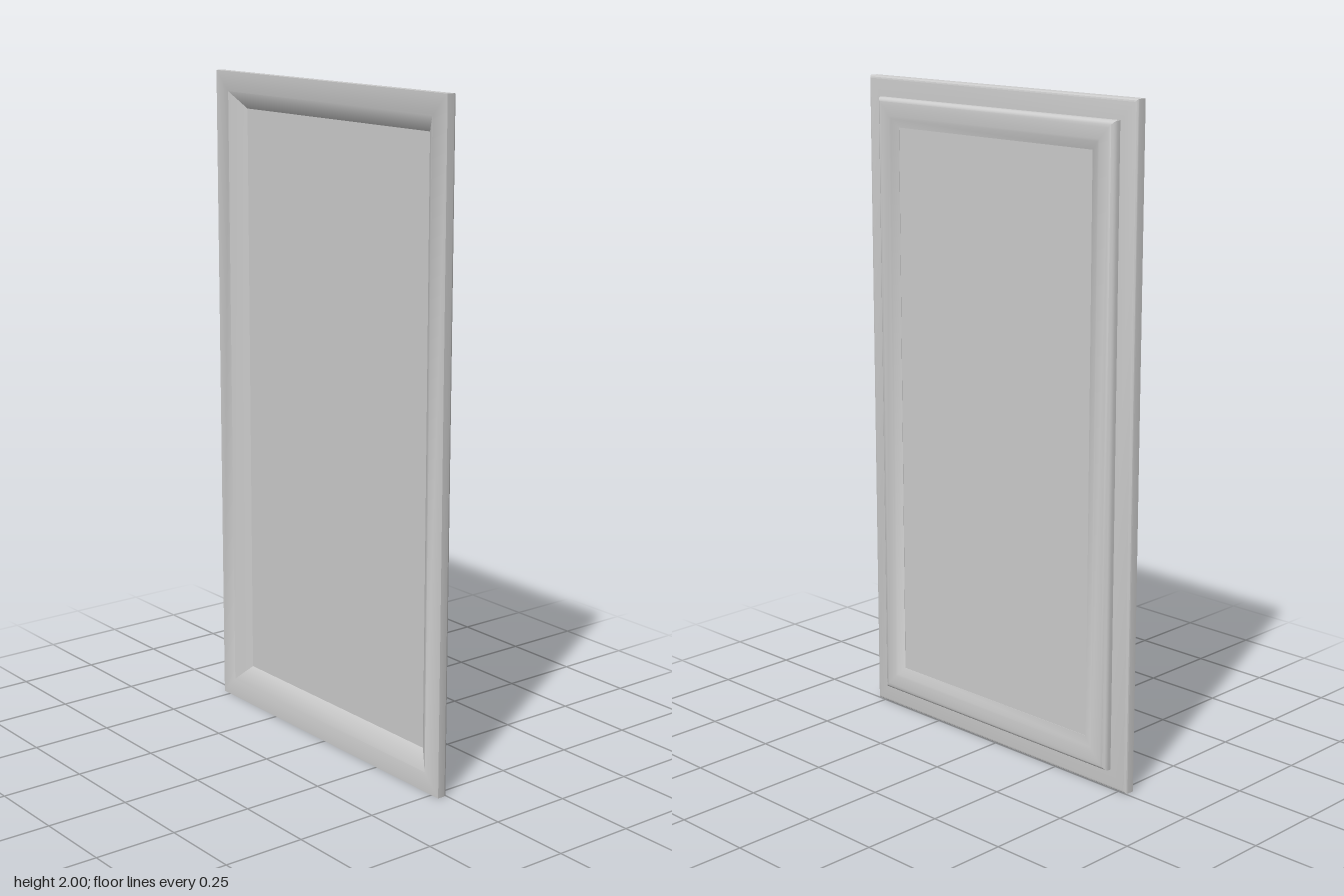
import * as THREE from 'three';
import { toCreasedNormals } from 'three/addons/utils/BufferGeometryUtils.js';

const HALF_Y = 1, HALF_Z = 0.53;

// Sweeps a profile of [inset from outer edge, x] around the rectangle with mitred corners.
function frameGeometry(profile, closed) {
  const corners = [[1, 1], [1, -1], [-1, -1], [-1, 1]];
  const point = ([inset, x], k) => {
    const [sy, sz] = corners[k % 4];
    return [x, HALF_Y + sy * (HALF_Y - inset), sz * (HALF_Z - inset)];
  };
  const pos = [];
  const count = closed ? profile.length : profile.length - 1;
  for (let k = 0; k < 4; k++) {
    for (let i = 0; i < count; i++) {
      const p = profile[i], q = profile[(i + 1) % profile.length];
      const a = point(p, k), b = point(q, k), c = point(q, k + 1), d = point(p, k + 1);
      pos.push(...a, ...b, ...c, ...a, ...c, ...d);
    }
  }
  const geo = new THREE.BufferGeometry();
  geo.setAttribute('position', new THREE.Float32BufferAttribute(pos, 3));
  return toCreasedNormals(geo, 0.7);
}

export function createModel() {
  const group = new THREE.Group();
  const material = new THREE.MeshStandardMaterial({ color: 0xcccccc });
  const add = (name, geometry) => {
    const mesh = new THREE.Mesh(geometry, material);
    mesh.name = name;
    group.add(mesh);
    return mesh;
  };

  // Flat outer frame: softened front edge, sloped rebate at the back
  add('outerFrame', frameGeometry([
    [0, -0.03], [0, -0.006], [0.001, -0.002], [0.004, 0.001], [0.008, 0.002],
    [0.075, 0.002], [0.11, 0.005], [0.06, -0.03],
  ], true));

  // Raised moulding with a rounded outer edge and an inner bevel
  add('moulding', frameGeometry([
    [0.06, 0], [0.06, 0.012], [0.0615, 0.018], [0.065, 0.023], [0.071, 0.0265],
    [0.08, 0.028], [0.112, 0.028], [0.12, 0.026], [0.145, 0.017], [0.145, 0.012],
  ], false));

  // Centre panel, its edges tucked under the moulding
  const panel = add('panel', new THREE.BoxGeometry(0.011, 2 * (HALF_Y - 0.108), 2 * (HALF_Z - 0.108)));
  panel.position.set(0.0105, HALF_Y, 0);

  return group;
}
